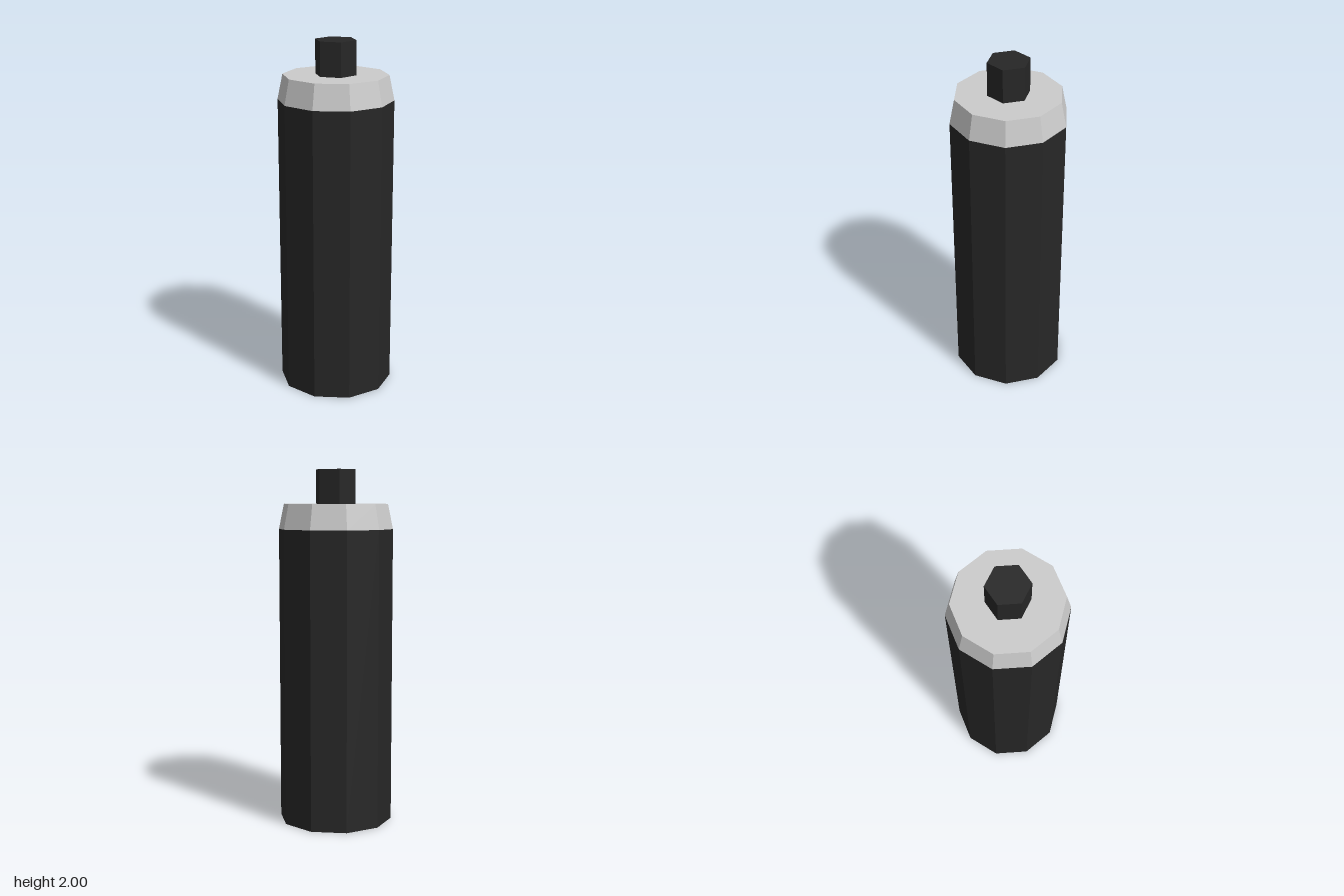
import * as THREE from 'three';

export function createModel() {
  const model = new THREE.Group();
  model.name = 'sprayCan';

  const dark = new THREE.MeshStandardMaterial({ color: 0x272727, flatShading: true });
  const grey = new THREE.MeshStandardMaterial({ color: 0xcccccc, flatShading: true });

  // Faceted section standing between two heights, with a corner facing the front
  function section(name, bottomRadius, topRadius, y0, y1, sides, material) {
    const geometry = new THREE.CylinderGeometry(topRadius, bottomRadius, y1 - y0, sides);
    const mesh = new THREE.Mesh(geometry, material);
    mesh.name = name;
    mesh.position.y = (y0 + y1) / 2;
    model.add(mesh);
  }

  section('body', 0.323, 0.323, 0, 1.67, 10, dark);
  section('shoulder', 0.323, 0.294, 1.67, 1.81, 10, grey);
  section('nozzle', 0.117, 0.117, 1.81, 2, 6, dark);

  return model;
}
